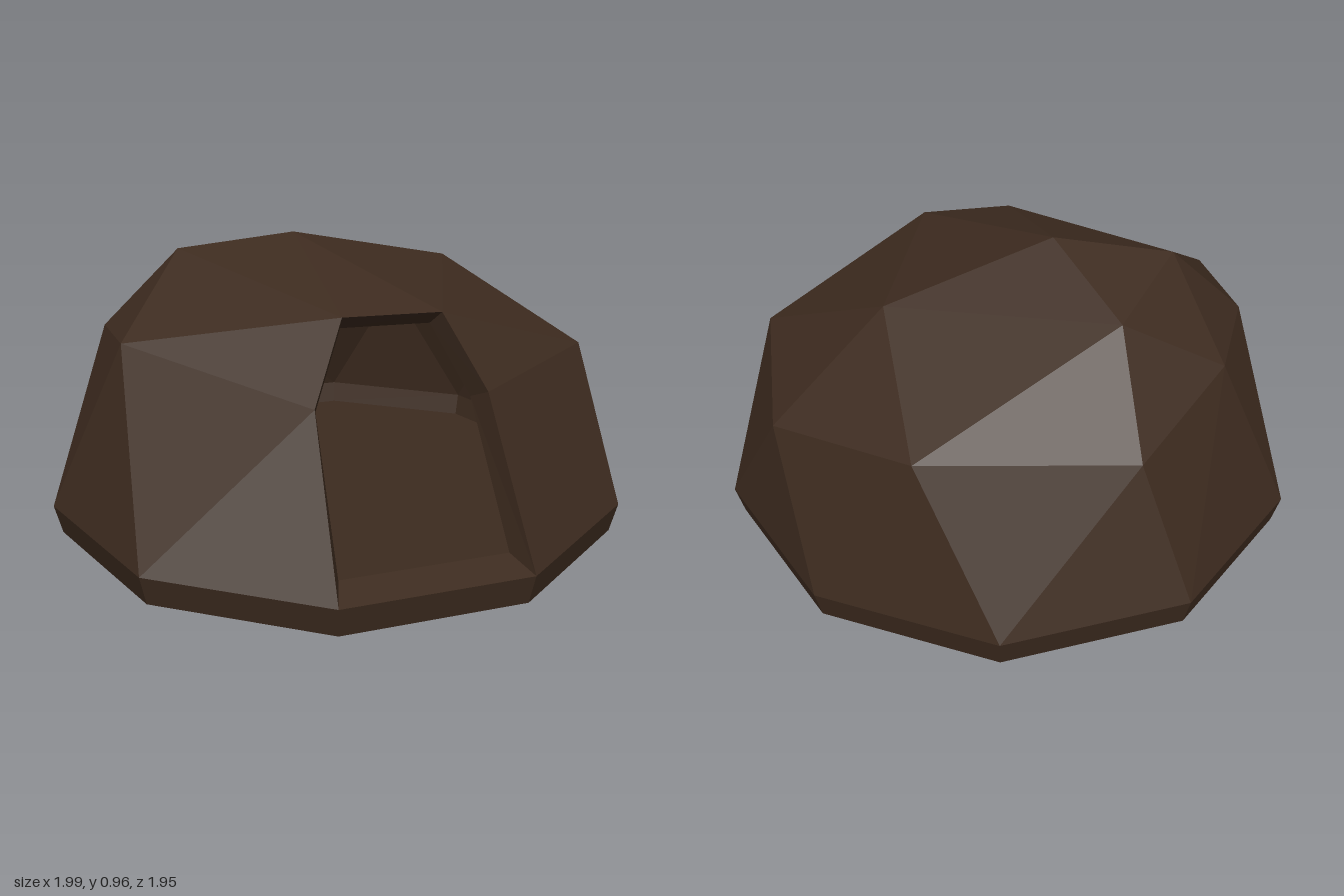
import * as THREE from 'three';

const v = (x, y, z) => new THREE.Vector3(x, y, z);

// Flat-shaded mesh from a list of triangles
function facetMesh(name, tris, material) {
  const geometry = new THREE.BufferGeometry().setFromPoints(tris.flat());
  geometry.computeVertexNormals();
  const mesh = new THREE.Mesh(geometry, material);
  mesh.name = name;
  return mesh;
}

const quad = (a, b, c, d) => [[a, b, c], [a, c, d]];
const flip = (tris) => tris.map(([a, b, c]) => [a, c, b]);

// Ten-sided ring
function ring(radius, y) {
  return Array.from({ length: 10 }, (_, k) => {
    const a = THREE.MathUtils.degToRad(4.6 + 36 * k);
    return v(radius * Math.cos(a), y, radius * Math.sin(a));
  });
}

// Band between two rings, facing inward when the first ring is the lower one
function band(low, high) {
  return low.flatMap((p, k) => {
    const n = (k + 1) % 10;
    return quad(p, low[n], high[n], high[k]);
  });
}

// Uneven geodesic half-shell with column 2 left open as the doorway (faces inward)
function shell(base, waist, crown, top) {
  const tris = [];
  for (let k = 0; k < 10; k++) {
    const n = (k + 1) % 10;
    if (k !== 2) tris.push([base[k], base[n], waist[k]]);
    if (k === 1 || k === 2) continue;
    tris.push([base[n], waist[n], waist[k]]);
  }
  for (let i = 0; i < 5; i++) {
    const col = (2 * i + 9) % 10; // waist column straight below crown point i
    const prev = (col + 9) % 10, next = (col + 1) % 10;
    const after = crown[(i + 1) % 5];
    if (prev !== 2) tris.push([waist[prev], waist[col], crown[i]]);
    if (next !== 2) {
      tris.push([waist[col], waist[next], crown[i]]);
      tris.push([waist[next], after, crown[i]]);
    }
    tris.push([crown[i], after, top]);
  }
  return tris;
}

export function createModel() {
  const group = new THREE.Group();
  group.name = 'domeHut';
  const earth = new THREE.MeshStandardMaterial({ color: 0x3d2b1f, flatShading: true, side: THREE.DoubleSide });
  earth.name = 'dark earth brown';

  // Outer surface points
  const base = ring(1.0, 0.1);
  const waist = [
    v(0.76, 0.59, 0.36), v(0.21, 0.59, 0.69), v(0, 0, 0), v(-0.335, 0.59, 0.63), v(-0.765, 0.68, 0.05),
    v(-0.75, 0.66, -0.26), v(-0.53, 0.65, -0.55), v(-0.12, 0.55, -0.8), v(0.55, 0.63, -0.65), v(0.87, 0.55, -0.21),
  ];
  const crown = [
    v(0.465, 0.835, -0.1), v(0.13, 0.81, 0.53), v(-0.18, 0.81, 0.47), v(-0.49, 0.91, -0.23), v(-0.19, 0.84, -0.48),
  ];
  const top = v(-0.12, 0.965, -0.09);

  // Inner surface points, leaving a thick wall
  const shrink = (p) => v(p.x * 0.91, p.y * 0.94, p.z * 0.89);
  const innerBase = ring(0.885, 0.13);
  const innerWaist = waist.map(shrink);
  const innerCrown = crown.map(shrink);

  group.add(facetMesh('outerDome', flip(shell(base, waist, crown, top)), earth));
  group.add(facetMesh('innerDome', shell(innerBase, innerWaist, innerCrown, shrink(top)), earth));

  // Doorway reveal and sill
  const opening = (b, w, c) => [b[2], w[1], c[1], c[2], w[3], b[3]];
  const outerEdge = opening(base, waist, crown);
  const innerEdge = opening(innerBase, innerWaist, innerCrown);
  const reveal = outerEdge.flatMap((p, i) => {
    const n = (i + 1) % outerEdge.length;
    return quad(p, outerEdge[n], innerEdge[n], innerEdge[i]);
  });
  group.add(facetMesh('doorway', reveal, earth));

  // Foot of the wall, underside bevel and inner lip
  const foot = ring(0.975, 0);
  const floorEdge = ring(0.87, 0.05);
  group.add(facetMesh('baseBand', flip(band(foot, base)), earth));
  group.add(facetMesh('undersideBevel', band(foot, floorEdge), earth));
  group.add(facetMesh('innerLip', band(floorEdge, innerBase), earth));

  // Floor
  const floor = floorEdge.map((p, k) => [v(0, 0.05, 0), p, floorEdge[(k + 1) % 10]]);
  group.add(facetMesh('floor', floor, earth));

  return group;
}
